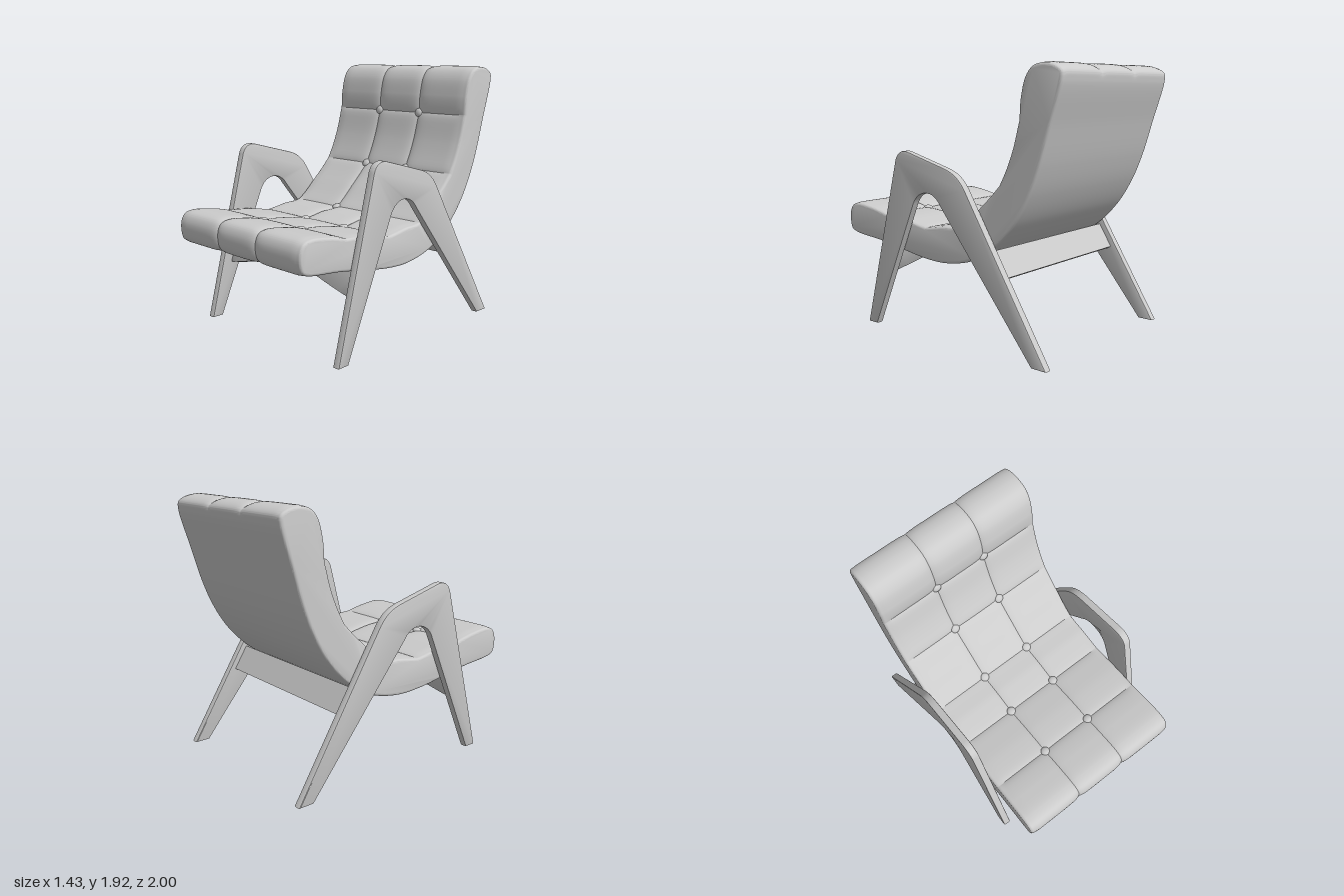
import * as THREE from 'three';
import { toCreasedNormals } from 'three/addons/utils/BufferGeometryUtils.js';

const material = new THREE.MeshStandardMaterial({ color: 0xcccccc });
const HALF = 0.655, EDGE = 0.02, SEAM_X = 0.205;

// Side profile of the cushion as [z, y]: front lip, sitting face, top, then back and underside
const PROFILE = [
  [0.93, 0.657], [0.98, 0.68], [1.0, 0.745], [0.995, 0.82], [0.965, 0.868], [0.9, 0.887], [0.75, 0.873],
  [0.585, 0.842], [0.4, 0.822], [0.17, 0.787], [0, 0.808], [-0.16, 0.828], [-0.34, 0.975], [-0.5, 1.14],
  [-0.6, 1.34], [-0.66, 1.56], [-0.675, 1.7], [-0.71, 1.83], [-0.765, 1.895], [-0.85, 1.915], [-0.94, 1.9],
  [-0.99, 1.865], [-0.993, 1.81], [-0.91, 1.53], [-0.83, 1.27], [-0.75, 1.08], [-0.64, 0.9], [-0.5, 0.748],
  [-0.35, 0.64], [-0.2, 0.58], [0, 0.547], [0.2, 0.555], [0.4, 0.585], [0.65, 0.625],
];
const SEAMS = [7, 9, 11, 13, 15];   // profile points that carry a cross seam
const LAST_TUFTED = 21;             // lengthwise seams end just behind the top
const curve = new THREE.CatmullRomCurve3(PROFILE.map(([z, y]) => new THREE.Vector3(0, y, z)), true);

function addMesh(parent, geometry, name) {
  const mesh = new THREE.Mesh(geometry, material);
  mesh.name = name;
  parent.add(mesh);
  return mesh;
}

function outward(t) {
  const d = curve.getTangent(t);
  return new THREE.Vector3(0, -d.z, d.y);
}

// Gathers samples near both ends of an interval so seams stay crisp
const gather = (f) => f - 0.12 * Math.sin(2 * Math.PI * f);

function cushionGeometry() {
  // Columns across the width, with rounded side edges
  const columns = [];
  for (let k = 4; k >= 0; k--) {
    const a = (k / 4) * Math.PI / 2;
    columns.push([-(HALF - EDGE + EDGE * Math.sin(a)), EDGE * (1 - Math.cos(a))]);
  }
  const knots = [-HALF + EDGE, -SEAM_X, SEAM_X, HALF - EDGE];
  for (let s = 0; s < 3; s++) {
    for (let k = 1; k <= 14; k++) columns.push([THREE.MathUtils.lerp(knots[s], knots[s + 1], gather(k / 14)), 0]);
  }
  for (let k = 1; k <= 4; k++) columns.push([-columns[4 - k][0], columns[4 - k][1]]);

  // Rows around the profile
  const n = PROFILE.length, rows = [];
  const seamPoints = SEAMS.map((i) => curve.getPoint(i / n));
  for (let i = 0; i < n; i++) {
    for (let k = 0; k < 10; k++) {
      const u = i + gather(k / 10), p = curve.getPoint(u / n);
      const gap = Math.min(...seamPoints.map((q) => q.distanceTo(p)));
      const tufted = u > n - 1 ? u - n + 1 : 1 - THREE.MathUtils.smoothstep(u, LAST_TUFTED - 1, LAST_TUFTED + 1);
      rows.push({ p, normal: outward(u / n), gap, tufted });
    }
  }

  const positions = [], index = [], R = rows.length;
  for (const [x, inset] of columns) {
    const across = Math.min(Math.abs(x - SEAM_X), Math.abs(x + SEAM_X));
    const fade = 1 - THREE.MathUtils.smoothstep(Math.abs(x), 0.58, 0.64);
    for (const { p, normal, gap, tufted } of rows) {
      const groove = 0.014 * Math.exp(-gap / 0.028) * (0.4 + 0.6 * fade) + 0.015 * tufted * Math.exp(-across / 0.028);
      const puff = 0.006 * tufted * fade;
      const q = p.clone().addScaledVector(normal, puff - groove - inset);
      positions.push(x, q.y, q.z);
    }
  }
  for (let i = 0; i < columns.length - 1; i++) {
    for (let j = 0; j < R; j++) {
      const a = i * R + j, b = i * R + (j + 1) % R;
      index.push(a, a + R, b + R, a, b + R, b);
    }
  }
  // Flat side panels
  const base = (columns.length - 1) * R;
  const ring = rows.map((_, j) => new THREE.Vector2(positions[3 * j + 2], positions[3 * j + 1]));
  for (const [a, b, c] of THREE.ShapeUtils.triangulateShape(ring, [])) {
    index.push(a, b, c, base + a, base + c, base + b);
  }
  const geometry = new THREE.BufferGeometry();
  geometry.setAttribute('position', new THREE.Float32BufferAttribute(positions, 3));
  geometry.setIndex(index);
  return toCreasedNormals(geometry, 0.7);
}

function extrude(shape, depth, bevel) {
  const geometry = new THREE.ExtrudeGeometry(shape, {
    depth: depth - 2 * bevel, bevelThickness: bevel, bevelSize: bevel, bevelOffset: -bevel,
    bevelSegments: 2, curveSegments: 16,
  });
  geometry.translate(0, 0, bevel - depth / 2);
  return toCreasedNormals(geometry, 0.5);
}

// Side frame: front leg, armrest and raked back leg in one board, drawn in [z, y]
function sideFrameGeometry() {
  const s = new THREE.Shape();
  s.moveTo(0.64, 0);
  s.lineTo(0.73, 0);
  s.lineTo(0.405, 1.25);
  s.bezierCurveTo(0.385, 1.31, 0.34, 1.33, 0.28, 1.318);
  s.lineTo(-0.07, 1.225);
  s.bezierCurveTo(-0.16, 1.2, -0.21, 1.165, -0.26, 1.09);
  s.lineTo(-0.935, 0);
  s.lineTo(-0.82, 0);
  s.lineTo(-0.03, 0.965);
  s.bezierCurveTo(0.03, 1.065, 0.17, 1.065, 0.225, 0.955);
  s.closePath();
  return extrude(s, 0.056, 0.008).rotateY(-Math.PI / 2);
}

export function createModel() {
  const model = new THREE.Group();
  model.name = 'loungeChair';

  addMesh(model, cushionGeometry(), 'cushion');

  // Buttons where the seams cross
  const buttons = new THREE.Group();
  buttons.name = 'buttons';
  model.add(buttons);
  const buttonGeometry = new THREE.SphereGeometry(0.034, 20, 12).scale(1, 0.55, 1);
  for (const i of SEAMS) {
    const t = i / PROFILE.length, normal = outward(t);
    for (const x of [-SEAM_X, SEAM_X]) {
      const button = addMesh(buttons, buttonGeometry, 'button');
      button.position.copy(curve.getPoint(t)).addScaledVector(normal, -0.012).setX(x);
      button.quaternion.setFromUnitVectors(new THREE.Vector3(0, 1, 0), normal);
    }
  }

  // Side frames
  const frame = sideFrameGeometry();
  addMesh(model, frame, 'leftFrame').position.x = 0.687;
  addMesh(model, frame, 'rightFrame').position.x = -0.687;

  // Front rail with an arched lower edge, tilted with the front legs
  const arch = new THREE.Shape();
  arch.moveTo(-0.66, 0);
  arch.bezierCurveTo(-0.36, 0.05, -0.22, 0.12, 0, 0.12);
  arch.bezierCurveTo(0.22, 0.12, 0.36, 0.05, 0.66, 0);
  arch.lineTo(0.66, 0.21);
  arch.lineTo(-0.66, 0.21);
  arch.closePath();
  const frontRail = addMesh(model, extrude(arch, 0.03, 0.003), 'frontRail');
  frontRail.position.set(0, 0.41, 0.53);
  frontRail.rotation.x = -0.3;

  // Straight back rail, tilted with the back legs
  const backRail = addMesh(model, new THREE.BoxGeometry(1.32, 0.2, 0.03), 'backRail');
  backRail.position.set(0, 0.605, -0.495);
  backRail.rotation.x = 0.56;

  return model;
}
